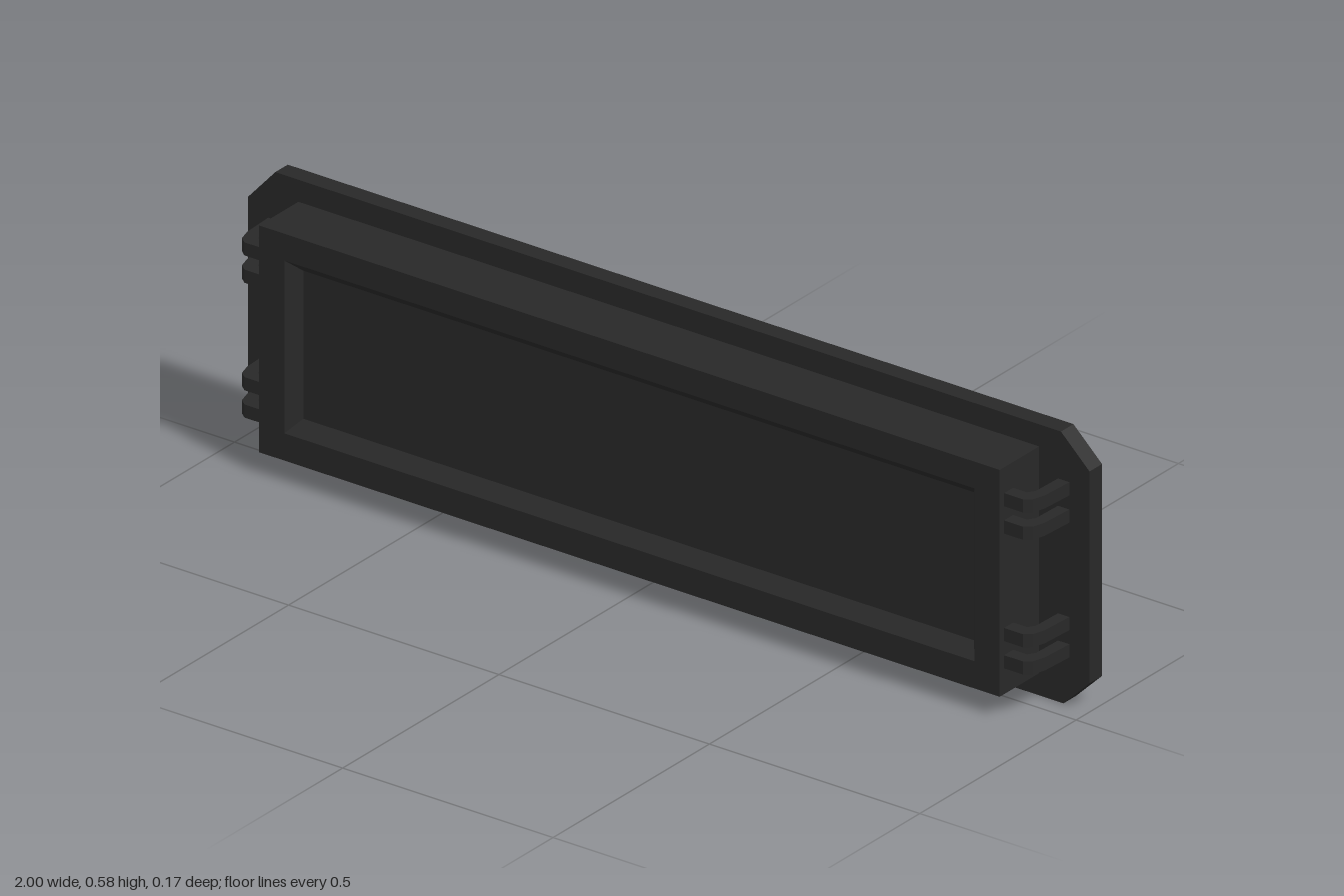
import * as THREE from 'three';

const BACK = -0.083, PLATE_FRONT = -0.043, FRONT = 0.083;

// Joins matching convex outlines (anticlockwise, each at its own z) with flat bands
// and caps the last one; the first end stays open
function loft(sections) {
  const loops = sections.map(({ outline, z }) => outline.map(([x, y]) => [x, y, z]));
  const pos = [];
  for (let i = 0; i < loops.length - 1; i++) {
    const a = loops[i], b = loops[i + 1];
    for (let k = 0; k < a.length; k++) {
      const n = (k + 1) % a.length;
      pos.push(...a[k], ...a[n], ...b[n], ...a[k], ...b[n], ...b[k]);
    }
  }
  const cap = loops[loops.length - 1];
  for (let k = 1; k < cap.length - 1; k++) pos.push(...cap[0], ...cap[k], ...cap[k + 1]);
  const geo = new THREE.BufferGeometry();
  geo.setAttribute('position', new THREE.Float32BufferAttribute(pos, 3));
  geo.computeVertexNormals();
  return geo;
}

const rect = (x, y0, y1) => [[-x, y0], [x, y0], [x, y1], [-x, y1]];

export function createModel() {
  const group = new THREE.Group();
  const charcoal = new THREE.MeshStandardMaterial({ color: 0x282828, side: THREE.DoubleSide });
  charcoal.name = 'charcoal';

  const add = (name, geometry) => {
    const mesh = new THREE.Mesh(geometry, charcoal);
    mesh.name = name;
    group.add(mesh);
  };

  // Thin tray with clipped corners, open at the back
  const outline = [
    [-0.935, 0], [0.938, 0], [1, 0.061], [1, 0.512],
    [0.932, 0.577], [-0.935, 0.577], [-1, 0.505], [-1, 0.072],
  ];
  add('backPlate', loft([{ outline, z: BACK }, { outline, z: PLATE_FRONT }]));

  // Raised housing with a shallow, slope-sided recess in its front
  const body = rect(0.88, 0.047, 0.53);
  add('housing', loft([
    { outline: body, z: PLATE_FRONT },
    { outline: body, z: FRONT },
    { outline: rect(0.82, 0.105, 0.473), z: FRONT },
    { outline: rect(0.797, 0.131, 0.446), z: FRONT - 0.03 },
  ]));

  // Bent clips joining the plate to each end of the housing
  const clipProfile = [
    [0.88, 0.069], [0.925, 0.069], [0.94, 0.057], [0.948, 0.03], [0.952, PLATE_FRONT],
    [0.925, PLATE_FRONT], [0.923, 0.025], [0.913, 0.04], [0.88, 0.04],
  ];
  const clipHeight = 0.028;
  for (const side of [-1, 1]) {
    const shape = new THREE.Shape(clipProfile.map(([x, z]) => new THREE.Vector2(x * side, z)));
    for (const y of [0.102, 0.16, 0.389, 0.447]) {
      const clip = new THREE.ExtrudeGeometry(shape, { depth: clipHeight, bevelEnabled: false });
      clip.rotateX(Math.PI / 2);
      clip.translate(0, y + clipHeight, 0);
      add(side > 0 ? 'leftClip' : 'rightClip', clip);
    }
  }

  return group;
}
